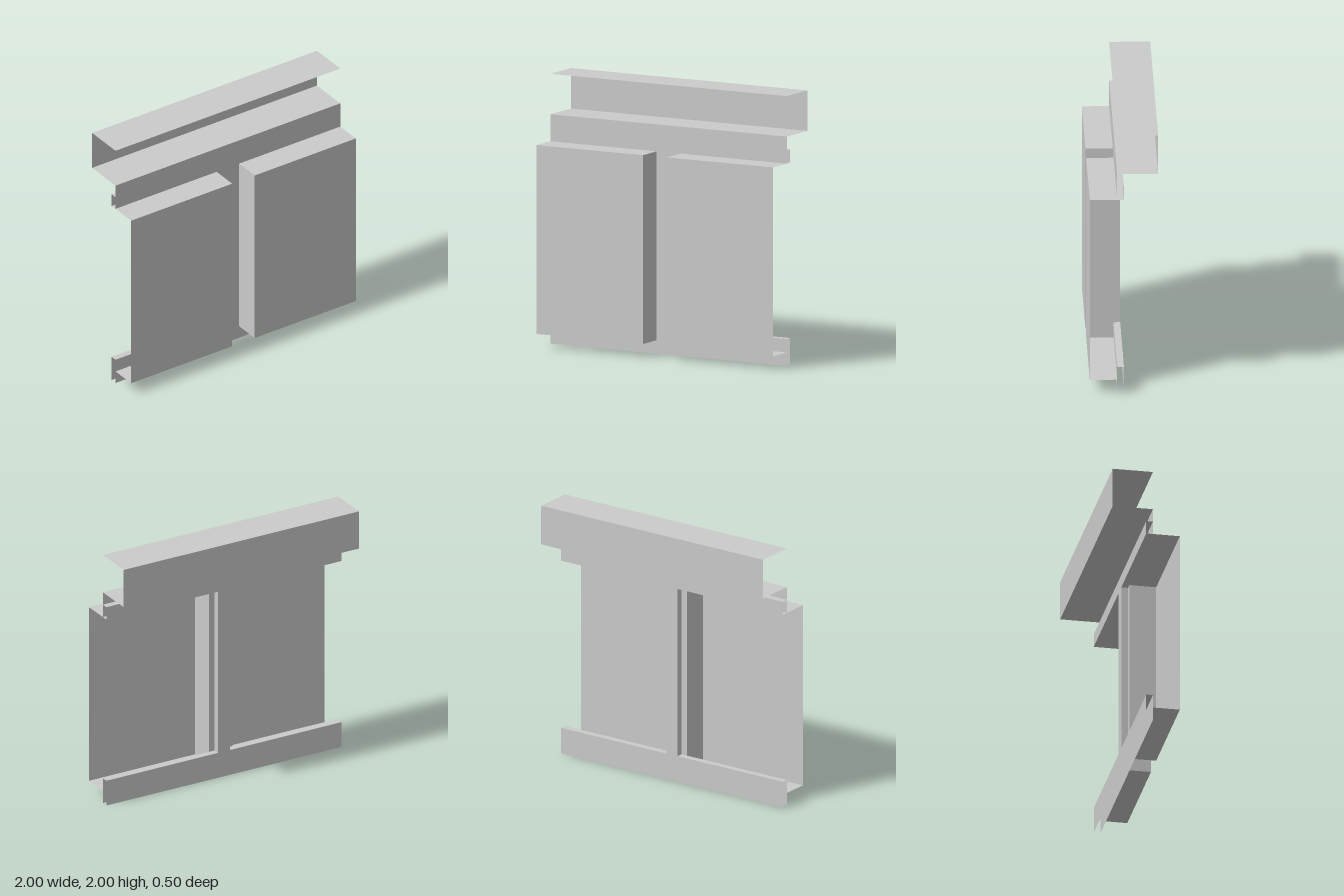
import * as THREE from 'three';

const material = new THREE.MeshStandardMaterial({ color: 0xcccccc, flatShading: true, side: THREE.DoubleSide });

// Folded sheet: an open profile of [a, b] points swept from t0 to t1; place(a, b, t) gives [x, y, z].
function foldedSheet(name, profile, t0, t1, place) {
  const positions = [];
  for (let i = 0; i < profile.length - 1; i++) {
    const [a, b, c, d] = [[i, t0], [i, t1], [i + 1, t1], [i + 1, t0]]
      .map(([k, t]) => place(...profile[k], t));
    positions.push(...a, ...b, ...c, ...a, ...c, ...d);
  }
  const geometry = new THREE.BufferGeometry();
  geometry.setAttribute('position', new THREE.Float32BufferAttribute(positions, 3));
  geometry.computeVertexNormals();
  const mesh = new THREE.Mesh(geometry, material);
  mesh.name = name;
  return mesh;
}

const alongX = (z, y, x) => [x, y, z];
const alongY = (x, z, y) => [x, y, z];

export function createModel() {
  const group = new THREE.Group();
  group.name = 'foldedWallPanel';

  // Full-width cornice channel and the fascia hanging from it
  group.add(foldedSheet('cornice',
    [[0.05, 2], [-0.25, 2], [-0.25, 1.7], [0.05, 1.7], [0.05, 1.5]], -1, 1, alongX));

  // Rails behind the front faces
  group.add(foldedSheet('upperBackRail',
    [[0.05, 1.6], [0, 1.6], [0, 1.5], [0.05, 1.5]], -1, 1, alongX));
  group.add(foldedSheet('lowerBackRail',
    [[0, 0], [0, 0.2], [0.05, 0.2], [0.05, 0]], -1, 1, alongX));

  // Centre post: wide front face, narrower channel behind it
  group.add(foldedSheet('postFace', [[-0.1, 0.05], [0.1, 0.05]], 0.1, 1.5, alongY));
  group.add(foldedSheet('postBack',
    [[-0.05, 0.05], [-0.05, 0], [0.05, 0], [0.05, 0.05]], 0.2, 1.5, alongY));

  // Raised panels either side of the post, open at the back and at the outer end
  for (const [name, side] of [['leftPanel', 1], ['rightPanel', -1]]) {
    const panel = new THREE.Group();
    panel.name = name;
    panel.add(foldedSheet('panelFace',
      [[0.05, 1.5], [0.25, 1.5], [0.25, 0.1], [0.05, 0.1]], side * 0.1, side, alongX));
    panel.add(foldedSheet('panelInnerSide',
      [[side * 0.1, 0.05], [side * 0.1, 0.25]], 0.1, 1.5, alongY));
    group.add(panel);
  }
  return group;
}
